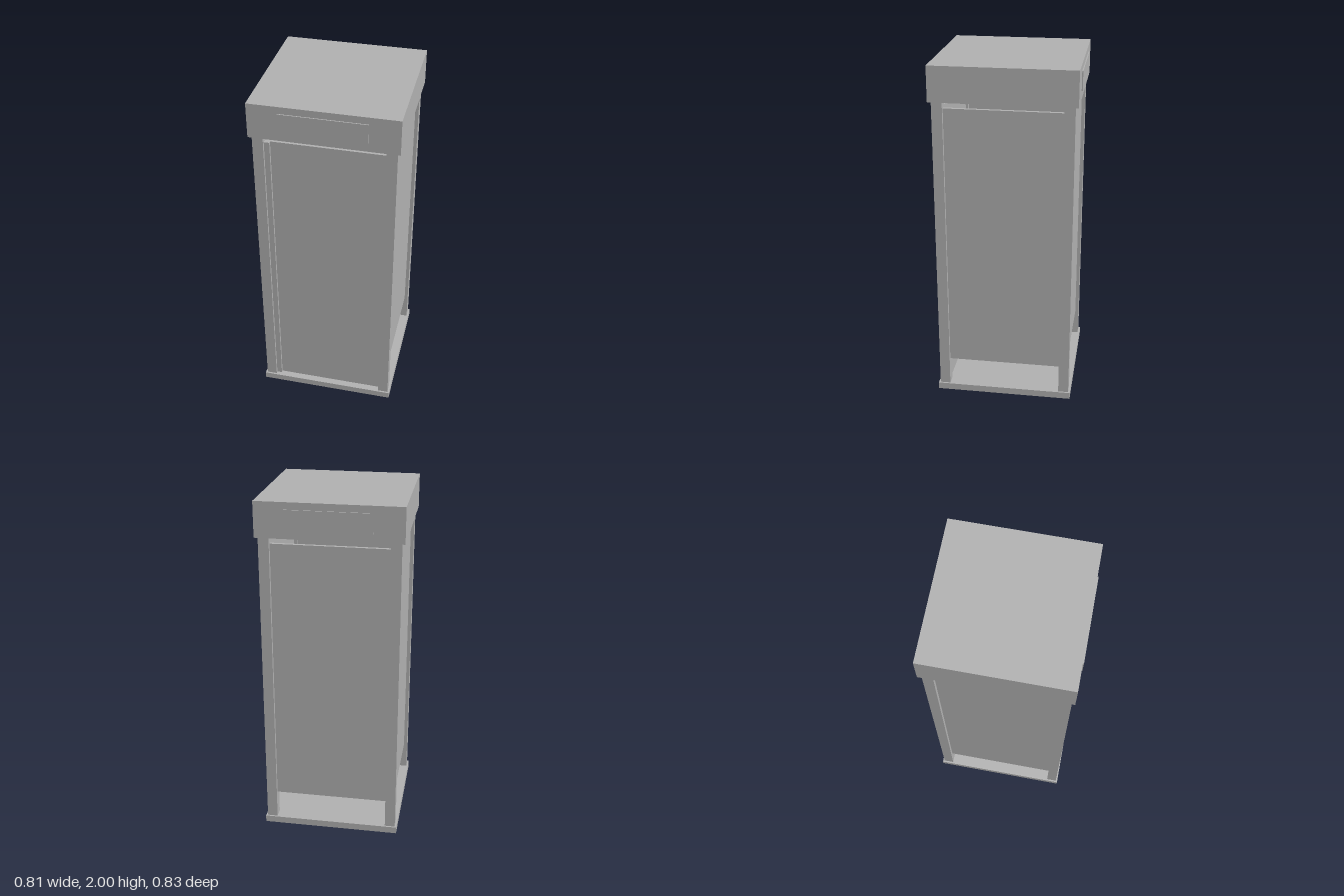
import * as THREE from 'three';

export function createModel() {
  const booth = new THREE.Group();
  booth.name = 'booth';
  const grey = new THREE.MeshStandardMaterial({ color: 0xb2b2b2 });
  grey.name = 'plain grey';

  const add = (name, geometry) => {
    const mesh = new THREE.Mesh(geometry, grey);
    mesh.name = name;
    booth.add(mesh);
    return mesh;
  };
  // box given by its lower and upper corners
  const box = (name, x0, x1, y0, y1, z0, z1) => {
    const mesh = add(name, new THREE.BoxGeometry(x1 - x0, y1 - y0, z1 - z0));
    mesh.position.set((x0 + x1) / 2, (y0 + y1) / 2, (z0 + z1) / 2);
    return mesh;
  };
  const rect = (Type, x0, x1, y0, y1) => {
    const path = new Type();
    path.moveTo(x0, y0);
    path.lineTo(x1, y0);
    path.lineTo(x1, y1);
    path.lineTo(x0, y1);
    path.closePath();
    return path;
  };
  // horizontal slab with rectangular holes, extruded upward from y
  const slab = (name, half, y, height, holes) => {
    const shape = rect(THREE.Shape, -half, half, -half, half);
    shape.holes = holes.map((h) => rect(THREE.Path, ...h));
    const geometry = new THREE.ExtrudeGeometry(shape, { depth: height, bevelEnabled: false });
    geometry.rotateX(-Math.PI / 2).translate(0, y, 0);
    return add(name, geometry);
  };

  const inner = 0.33, outer = 0.39;

  // base plate with a square socket under each post
  const sockets = [];
  for (const sx of [-1, 1]) for (const sz of [-1, 1]) {
    const span = (s) => (s > 0 ? [inner, outer] : [-outer, -inner]);
    sockets.push([...span(sx), ...span(sz)]);
  }
  slab('base', 0.4, 0, 0.04, sockets);

  // corner posts
  for (const [x0, x1, z0, z1] of sockets) box('cornerPost', x0, x1, 0.04, 1.97, z0, z1);

  // hollow roof: four-sided rim and ceiling
  slab('roofRim', 0.407, 1.8, 0.17, [[-0.392, 0.392, -0.392, 0.392]]);
  box('roofTop', -0.407, 0.407, 1.97, 2, -0.407, 0.407);

  // thin sign plates on the front and back of the roof
  for (const s of [-1, 1]) {
    box('signPlate', -0.24, 0.24, 1.85, 1.96, s * 0.41 - 0.003, s * 0.41 + 0.003);
  }

  // side and back panels, raised off the floor
  for (const s of [-1, 1]) {
    box('sidePanel', s * 0.36 - 0.01, s * 0.36 + 0.01, 0.2, 1.76, -inner, inner);
  }
  box('backPanel', -inner, inner, 0.2, 1.76, -0.37, -0.35);

  // full-height front door and its slightly proud hinge strip
  box('door', -0.3, inner, 0.04, 1.76, 0.34, 0.36);
  box('hingeStrip', -inner, -0.3, 0.04, 1.76, 0.345, 0.375);

  return booth;
}
